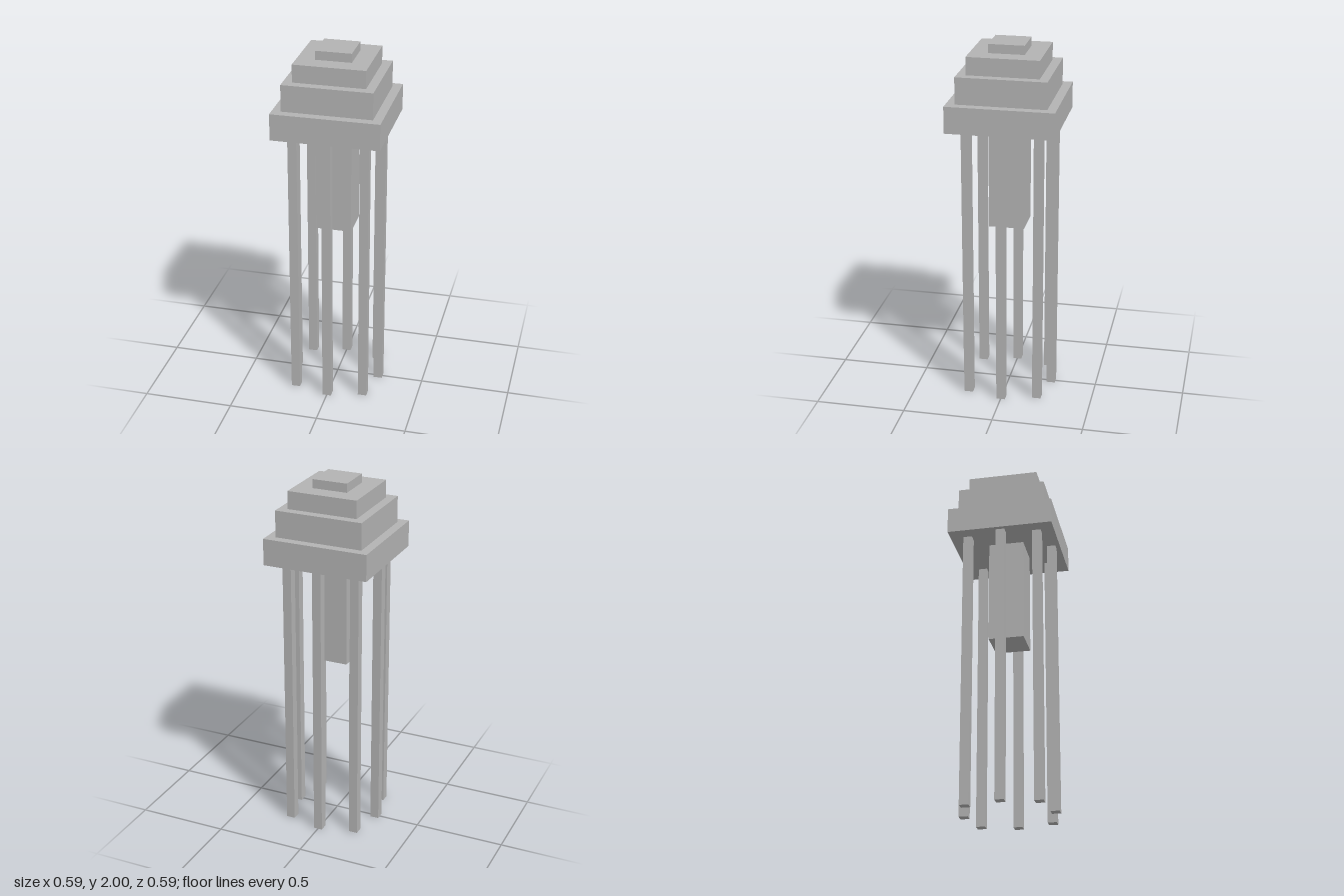
import * as THREE from 'three';

const U = 2 / 41; // the whole design sits on a grid, 41 units tall

export function createModel() {
  const model = new THREE.Group();
  model.name = 'steppedTower';
  const grey = new THREE.MeshStandardMaterial({ color: 0xb2b2b2 });
  grey.name = 'grey';

  // Square block of a given width, spanning bottom to top, in grid units
  function block(name, width, bottom, top, x = 0, z = 0) {
    const geometry = new THREE.BoxGeometry(width * U, (top - bottom) * U, width * U);
    const mesh = new THREE.Mesh(geometry, grey);
    mesh.name = name;
    mesh.position.set(x * U, ((bottom + top) / 2) * U, z * U);
    model.add(mesh);
  }

  // Stepped roof
  block('lowerTier', 12, 32, 35);
  block('middleTier', 10, 35, 38);
  block('upperTier', 8, 38, 40);
  block('cap', 4, 40, 41);

  // Core hanging below the roof
  block('hangingCore', 4, 20, 32);

  // Eight slender legs: four corners and four sides set slightly further out
  for (const s of [-1, 1]) {
    block('cornerLeg', 1, 0, 32, 4 * s, 4);
    block('cornerLeg', 1, 0, 32, 4 * s, -4);
    block('sideLeg', 1, 0, 32, 5 * s, 0);
    block('sideLeg', 1, 0, 32, 0, 5 * s);
  }
  return model;
}
